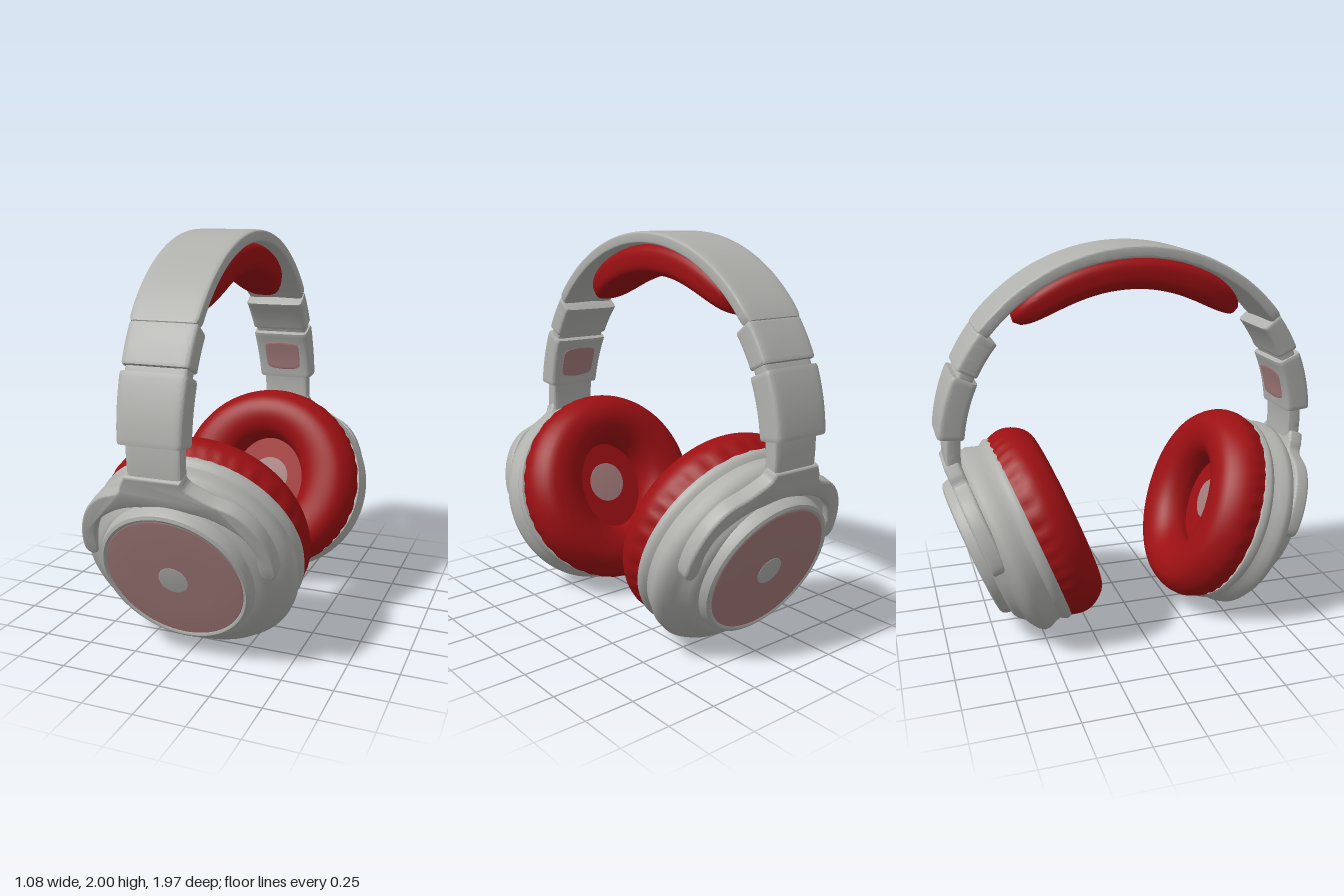
import * as THREE from 'three';
import { toCreasedNormals } from 'three/addons/utils/BufferGeometryUtils.js';

const material = (name, color) => {
  const m = new THREE.MeshStandardMaterial({ color });
  m.name = name;
  return m;
};
const V = (x, y) => new THREE.Vector2(x, y);
const rad = THREE.MathUtils.degToRad;

const HUB_Y = 1.01; // centre of the headband arc
// The band narrows and drifts sideways from the crown down to the necks
const bandWidth = y => 0.31 + 0.05 * (y - 1.1) / 0.9;
const bandCentre = y => -0.035 - 0.035 * (y - 1.1) / 0.9;

// Sweep a rounded rectangle along the headband arc (degrees from +z upwards)
function arcBlock(a0, a1, rIn, rOut, { widthScale = 1, boxy = 0.25, endPower = 40, steps = 28 } = {}) {
  const sides = 40, pos = [], index = [];
  const mid = (rIn + rOut) / 2, half = (rOut - rIn) / 2;
  const soft = v => Math.sign(v) * Math.pow(Math.abs(v), boxy);
  for (let i = 0; i <= steps; i++) {
    const t = i / steps, a = rad(a0 + (a1 - a0) * t);
    const k = Math.max(0.002, Math.sqrt(1 - Math.pow(Math.abs(2 * t - 1), endPower)));
    const y0 = HUB_Y + mid * Math.sin(a);
    for (let j = 0; j < sides; j++) {
      const th = (j + 0.5) / sides * Math.PI * 2;
      const r = mid + half * k * soft(Math.sin(th));
      const x = bandCentre(y0) + bandWidth(y0) * widthScale / 2 * k * soft(Math.cos(th));
      pos.push(x, HUB_Y + r * Math.sin(a), r * Math.cos(a));
      if (i < steps) {
        const p = i * sides + j, q = i * sides + (j + 1) % sides;
        index.push(p, p + sides, q, q, p + sides, q + sides);
      }
    }
  }
  const g = new THREE.BufferGeometry();
  g.setAttribute('position', new THREE.Float32BufferAttribute(pos, 3));
  g.setIndex(index);
  return toCreasedNormals(g, 0.6);
}

// Turned part whose axis is z; profile points are [radius, depth]
function turned(profile, segments = 96) {
  return new THREE.LatheGeometry(profile.map(p => V(p[0], p[1])), segments).rotateX(Math.PI / 2);
}

// Soft ear cushion with an oval opening and small gathers along its seam
function cushionGeometry() {
  const curve = new THREE.SplineCurve([
    [0.25, -0.05], [0.245, -0.1], [0.275, -0.17], [0.33, -0.213], [0.4, -0.227], [0.47, -0.205],
    [0.52, -0.14], [0.535, -0.07], [0.515, 0.005],
  ].map(p => V(...p)));
  const g = turned(curve.getPoints(28).map(p => [p.x, p.y]), 144);
  const p = g.attributes.position;
  for (let i = 0; i < p.count; i++) {
    const x = p.getX(i), y = p.getY(i), r = Math.hypot(x, y), a = Math.atan2(y, x);
    const seam = r > 0.45 ? Math.max(0, 1 - Math.abs(p.getZ(i) + 0.035) / 0.07) : 0;
    const s = 1 - 0.02 * seam * Math.pow(Math.abs(Math.sin(a * 18 + Math.sin(a * 5))), 4);
    const oval = 0.87 + 0.13 * THREE.MathUtils.smoothstep(r, 0.25, 0.45);
    p.setXY(i, x * s * oval, y * s * 0.985);
  }
  return toCreasedNormals(g, 1);
}

// Horseshoe yoke that grips the cup; neckX is the neck offset
function yokeGeometry(neckX) {
  const s = new THREE.Shape();
  s.moveTo(neckX + 0.13, 0.54);
  s.splineThru([V(neckX + 0.155, 0.5), V(0.22, 0.445), V(0.33, 0.4), V(0.41, 0.32), V(0.46, 0.21),
    V(0.475, 0.1), V(0.45, 0.065), V(0.42, 0.09), V(0.41, 0.2), V(0.35, 0.3), V(0.2, 0.38), V(0, 0.4),
    V(-0.2, 0.38), V(-0.35, 0.3), V(-0.41, 0.2), V(-0.42, 0.09), V(-0.45, 0.065), V(-0.475, 0.1),
    V(-0.46, 0.21), V(-0.41, 0.32), V(-0.33, 0.4), V(-0.22, 0.445), V(neckX - 0.155, 0.5), V(neckX - 0.13, 0.54)]);
  s.closePath();
  const g = new THREE.ExtrudeGeometry(s, {
    depth: 0.05, bevelThickness: 0.015, bevelSize: 0.012, bevelSegments: 3, curveSegments: 90,
  });
  g.translate(0, 0, 0.185);
  return toCreasedNormals(g, 0.7);
}

export function createModel() {
  const grey = material('grey plastic', 0xb0b0ad);
  const red = material('red padding', 0x9c1013);
  const pink = material('dusty pink', 0xa67c7c);
  const model = new THREE.Group();
  model.name = 'headphones';
  const add = (parent, name, geometry, mat) => {
    const mesh = new THREE.Mesh(geometry, mat);
    mesh.name = name;
    parent.add(mesh);
    return mesh;
  };

  // Headband and its padding
  add(model, 'headband', arcBlock(37, 143, 0.925, 0.99, { steps: 72, endPower: 80 }), grey);
  add(model, 'headbandPad', arcBlock(47, 133, 0.765, 0.935,
    { widthScale: 0.86, boxy: 0.6, endPower: 5, steps: 72 }), red);

  // Band ends, sliders, inner patches and necks, mirrored front to back
  for (const [label, at] of [['front', a => a], ['back', a => 180 - a]]) {
    const block = (name, a, b, rIn, rOut, mat, options) =>
      add(model, label + name, arcBlock(Math.min(at(a), at(b)), Math.max(at(a), at(b)), rIn, rOut, options), mat);
    block('BandEnd', 26, 39, 0.87, 0.985, grey, { widthScale: 1.01 });
    block('BandJoint', 23, 28, 0.88, 0.965, grey, { widthScale: 0.93 });
    block('Slider', 5, 25.3, 0.855, 0.99, grey, { widthScale: 1.02 });
    block('SliderPatch', 9, 21, 0.85, 0.858, pink, { widthScale: 0.66, boxy: 0.4, endPower: 8 });
    block('Neck', -6, 7, 0.872, 0.948, grey, { widthScale: 0.87 });
  }

  // Ear cups, tilted outwards at the top
  for (const [label, side] of [['front', 1], ['back', -1]]) {
    const holder = new THREE.Group();
    holder.name = label + 'EarCup';
    holder.rotation.y = side > 0 ? 0 : Math.PI;
    const cup = new THREE.Group();
    cup.name = label + 'TiltedCup';
    cup.position.set(0, 0.53, 0.53);
    cup.rotation.x = 0.367;
    holder.add(cup);
    model.add(holder);

    add(cup, 'cushion', cushionGeometry(), red);
    add(cup, 'cushionFloor', turned([[0, -0.05], [0.3, -0.05]]), red);
    add(cup, 'speakerPatch', turned([[0, -0.056], [0.11, -0.056], [0.11, -0.05]]), pink)
      .position.y = 0.02;

    // Stepped shell, slightly wider than tall
    const shell = turned([[0.5, -0.012], [0.53, -0.008], [0.538, 0.015], [0.53, 0.035], [0.517, 0.05],
      [0.525, 0.08], [0.54, 0.115], [0.538, 0.145], [0.515, 0.175], [0.475, 0.2], [0.445, 0.215],
      [0.425, 0.24], [0.395, 0.258], [0.3, 0.265], [0, 0.265]]);
    shell.scale(1, 0.955, 1);
    add(cup, 'shell', toCreasedNormals(shell, 0.8), grey);
    add(cup, 'yoke', yokeGeometry(-0.035 * side), grey);

    // Outer face plate with its rim and centre dot
    const face = new THREE.Group();
    face.name = 'facePlate';
    face.position.y = 0.025;
    cup.add(face);
    add(face, 'faceRim', toCreasedNormals(turned([[0.385, 0.22], [0.38, 0.275], [0.37, 0.302],
      [0.355, 0.31], [0.343, 0.306], [0.338, 0.3], [0, 0.3]]), 0.7), grey);
    add(face, 'faceDisc', turned([[0.342, 0.302], [0.335, 0.308], [0.2, 0.3095], [0, 0.31]]), pink);
    add(face, 'centreDot', turned([[0.074, 0.308], [0.072, 0.313], [0, 0.3135]], 48), grey);
  }
  return model;
}
